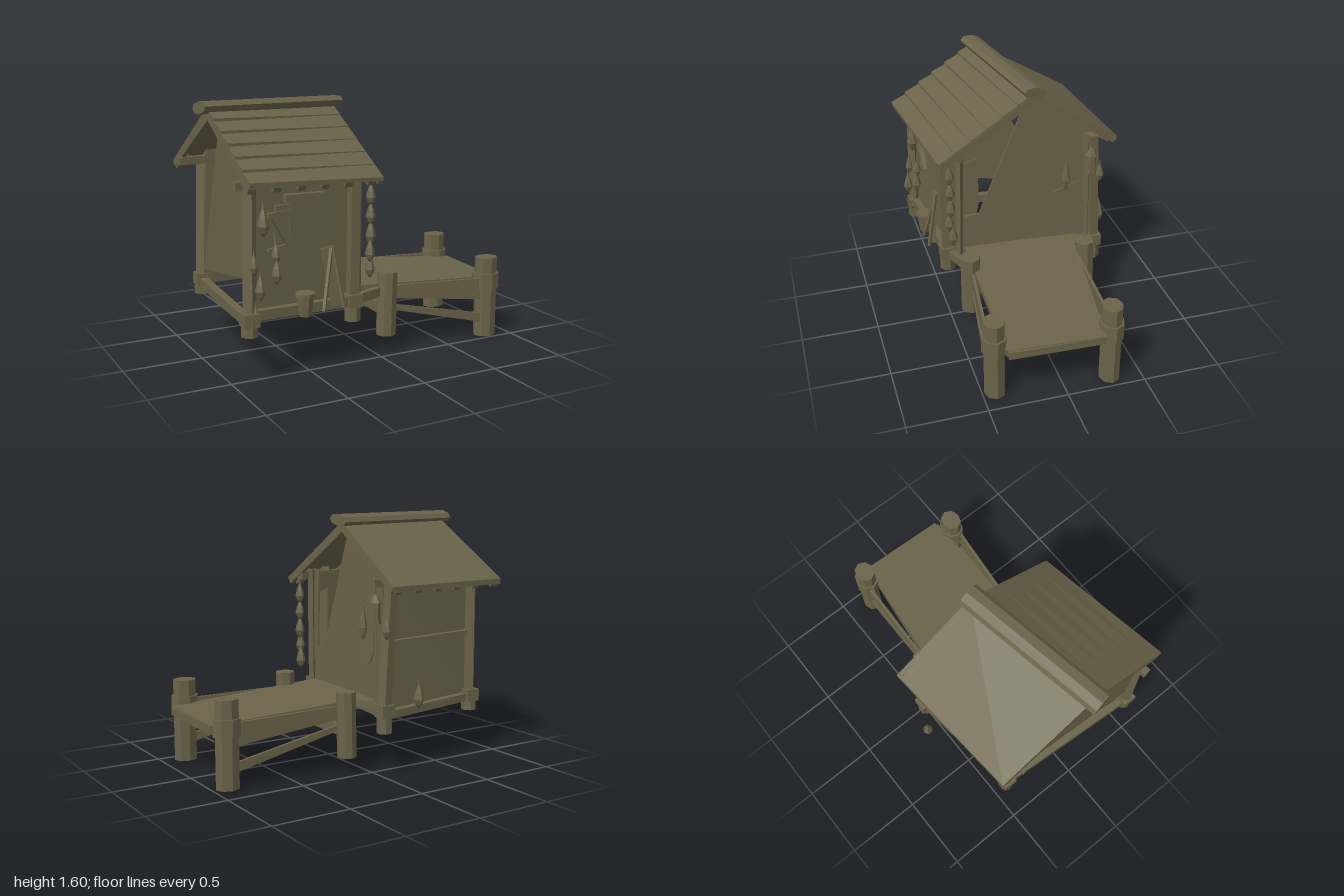
import * as THREE from 'three';

const wood = new THREE.MeshStandardMaterial({ color: 0x6b6349, flatShading: true, side: THREE.DoubleSide });
wood.name = 'weathered wood';
const V = (p) => new THREE.Vector3(...p);
const mix = (a, b, t) => a.map((v, i) => v + (b[i] - v) * t);

export function createModel() {
  const group = new THREE.Group();

  const add = (name, geo) => {
    const m = new THREE.Mesh(geo, wood);
    m.name = name;
    group.add(m);
    return m;
  };

  // Convex polygon in space, thickened by an offset vector
  const slab = (name, points, offset) => {
    const p = points.map(V);
    const o = V(offset), n = new THREE.Vector3();
    for (let i = 1; i < p.length - 1; i++)
      n.add(p[i].clone().sub(p[0]).cross(p[i + 1].clone().sub(p[0])));
    if (n.dot(o) < 0) p.reverse();
    const q = p.map((v) => v.clone().add(o)), tri = [];
    for (let i = 1; i < p.length - 1; i++) tri.push(q[0], q[i], q[i + 1], p[0], p[i + 1], p[i]);
    p.forEach((v, i) => {
      const j = (i + 1) % p.length;
      tri.push(v, p[j], q[j], v, q[j], q[i]);
    });
    const geo = new THREE.BufferGeometry().setFromPoints(tri);
    geo.computeVertexNormals();
    return add(name, geo);
  };

  // Rectangular beam from a to b: w across, h upright
  const beam = (name, a, b, w, h) => {
    const A = V(a), B = V(b);
    const m = add(name, new THREE.BoxGeometry(w, h, A.distanceTo(B)));
    m.position.copy(A).lerp(B, 0.5);
    m.lookAt(B);
    return m;
  };

  // Faceted log from a to b
  const pole = (name, a, b, r, sides = 8, r2 = r) => {
    const A = V(a), B = V(b);
    const m = add(name, new THREE.CylinderGeometry(r2, r, A.distanceTo(B), sides));
    m.position.copy(A).lerp(B, 0.5);
    m.quaternion.setFromUnitVectors(new THREE.Vector3(0, 1, 0), B.sub(A).normalize());
    return m;
  };

  // Dock
  slab('dockDeck', [[-0.12, 0.44, 0.36], [0.94, 0.375, 0.37], [0.98, 0.375, -0.24], [0.05, 0.44, -0.36], [-0.1, 0.44, -0.36]], [0, -0.045, 0]);
  slab('dockCorner', [[-0.1, 0.44, -0.36], [0.05, 0.44, -0.36], [-0.04, 0.44, -0.46]], [0, -0.045, 0]);
  for (const [x, z, top] of [[0.84, 0.42, 0.53], [0.9, -0.3, 0.54]]) {
    pole('dockEndPost', [x, 0, z], [x, top, z], 0.078).scale.z = 0.85;
    pole('dockPostCollar', [x, 0.32, z], [x, 0.425, z], 0.092).scale.z = 0.85;
  }
  pole('dockInnerPost', [0.1, 0.1, 0.38], [0.11, 0.51, 0.38], 0.065);
  pole('dockInnerPost', [0.13, 0.1, -0.41], [0.13, 0.51, -0.4], 0.062);
  for (const [x0, z0, x1, z1] of [[0.13, -0.36, 0.88, -0.33], [0.1, 0.36, 0.82, 0.44]]) {
    slab('dockRail', [[x0, 0.415, z0], [x1, 0.395, z1], [x1, 0.25, z1], [x0, 0.335, z0]], [0, 0, 0.02]);
    slab('dockBrace', [[x0, 0.3, z0], [x1, 0.15, z1], [x1, 0.09, z1], [x0, 0.265, z0]], [0, 0, 0.02]);
  }
  beam('dockCrossBeam', [0.1, 0.255, 0.34], [0.12, 0.255, -0.38], 0.04, 0.07);
  beam('deckEdge', [0.95, 0.345, 0.36], [0.97, 0.345, -0.24], 0.02, 0.05);
  beam('deckJoist', [-0.2, 0.385, 0.47], [0.08, 0.385, 0.36], 0.04, 0.06);

  // Hut corner feet, collars and leaning posts
  const FL = [-0.9, 0.55], FR = [-0.19, 0.47], BR = [-0.07, -0.53], BL = [-0.83, -0.44];
  const corners = [[FL, 0.29, [-0.88, 1.2, 0.53]], [FR, 0.26, [-0.18, 1.15, 0.47]], [BR, 0.25, [-0.12, 1.2, -0.52]], [BL, 0.29, [-0.79, 1.2, -0.48]]];
  for (const [[x, z], y, top] of corners) {
    pole('cornerFoot', [x, y, z], [x, 0.4, z], 0.05, 7);
    beam('footCollar', [x, 0.35, z], [x, 0.43, z], 0.095, 0.095);
    beam('cornerPost', [x, 0.38, z], top, 0.06, 0.06);
  }
  beam('sidePost', [-0.12, 0.38, 0.4], [-0.1, 1.2, 0.38], 0.035, 0.035);
  beam('sidePost', [-0.06, 0.38, -0.48], [-0.07, 1.2, -0.46], 0.03, 0.03);

  // Sills, floor and top plates
  const at = ([x, z], y) => [x, y, z];
  beam('frontSill', at(FL, 0.41), at(FR, 0.385), 0.05, 0.06);
  beam('leftSill', at(FL, 0.37), at(BL, 0.37), 0.05, 0.06);
  beam('backSill', at(BL, 0.38), at(BR, 0.36), 0.05, 0.05);
  beam('rightSill', at(BR, 0.37), at(FR, 0.38), 0.05, 0.05);
  slab('hutFloor', [at(FL, 0.4), at(FR, 0.4), at(BR, 0.4)], [0, -0.02, 0]);
  beam('frontPlate', [-0.97, 1.16, 0.52], [-0.02, 1.16, 0.39], 0.05, 0.05);
  beam('backPlate', [-0.97, 1.18, -0.43], [0, 1.18, -0.49], 0.05, 0.05);

  // Walls; the side walls are cut on a slant
  slab('frontWall', [[-0.9, 0.4, 0.53], [-0.14, 0.38, 0.43], [-0.14, 1.18, 0.42], [-0.9, 1.2, 0.53]], [0, 0, -0.02]);
  slab('backWall', [[-0.82, 0.39, -0.42], [-0.08, 0.38, -0.49], [-0.12, 1.24, -0.48], [-0.79, 1.24, -0.44]], [0, 0, 0.02]);
  beam('backWallRail', [-0.79, 0.81, -0.45], [-0.1, 0.8, -0.51], 0.04, 0.04);
  const rightSide = ([z, y]) => [-0.11 - 0.08 * z, y, z];
  const leftSide = ([z, y]) => [-0.86 - 0.08 * z, y, z];
  slab('rightWall', [[-0.08, 1.5], [-0.06, 1.46], [0.26, 0.66], [0.26, 0.42], [-0.5, 0.42], [-0.5, 1.235]].map(rightSide), [-0.015, 0, 0]);
  slab('rightWallLower', [[0.26, 0.42], [0.26, 0.68], [0.38, 0.66], [0.38, 0.42]].map(rightSide), [-0.015, 0, 0]);
  slab('leftWall', [[0.52, 0.62], [0.52, 1.2], [0.05, 1.5], [-0.4, 0.46]].map(leftSide), [0.015, 0, 0]);
  slab('frontRightJamb', [[0.42, 0.4], [0.36, 0.4], [0.34, 1.2], [0.42, 1.2]].map(rightSide), [-0.015, 0, 0]);

  // Hanging cloths with rounded hems
  const cloth = (name, x, z, w, top, bottom) => {
    const pts = [[x, top - 0.06, z + w], [x, top, z - w]];
    for (let i = 0; i <= 8; i++) {
      const a = (i / 8) * Math.PI;
      pts.push([x, bottom + 0.14 - 0.14 * Math.sin(a), z - w * Math.cos(a)]);
    }
    slab(name, pts, [0.008, 0, 0]);
  };
  cloth('sideCurtain', -0.16, 0.34, 0.09, 1.08, 0.62);
  cloth('hangingCloth', -0.07, -0.33, 0.09, 0.86, 0.65);

  // Roof: plain back slope and overlapping planks in front
  const ridgeL = [-0.95, 1.55, 0.08], ridgeR = [-0.04, 1.54, -0.1];
  const eaveL = [-0.93, 1.18, 0.66], eaveR = [-0.015, 1.14, 0.53];
  const backL = [-0.95, 1.17, -0.59], backR = [-0.035, 1.17, -0.66];
  slab('backRoof', [[-0.95, 1.55, 0.05], ridgeR, backR, backL], [0, -0.035, 0]);
  slab('roofUnderlay', [ridgeL, ridgeR, eaveR, eaveL], [0, -0.02, 0]);
  const lower = (p, dx, dy) => [p[0] + dx, p[1] - dy, p[2]];
  for (let i = 0; i < 6; i++) {
    const a = i / 6, b = (i + 1) / 6 + 0.01;
    slab('roofPlank', [
      lower(mix(ridgeL, eaveL, a), 0, -0.002), lower(mix(ridgeR, eaveR, a), 0, -0.002),
      lower(mix(ridgeR, eaveR, b), 0, -0.007), lower(mix(ridgeL, eaveL, b), 0, -0.02),
    ], [0, -0.018, 0]);
  }
  pole('ridgeLog', [-1, 1.56, 0.075], [-0.01, 1.55, -0.095], 0.077).scale.x = 0.5;

  // Gable boards
  for (const [top, ends, dx] of [[ridgeR, [eaveR, backR], -0.01], [ridgeL, [eaveL, backL], 0.015]])
    for (const e of ends) beam('gableBoard', lower(top, dx, 0.035), lower(mix(top, e, 0.98), dx, 0.03), 0.03, 0.05);

  // Rafter ends under both eaves
  for (let i = 0; i < 6; i++) {
    const t = 0.03 + i * 0.18, top = mix(ridgeL, ridgeR, t);
    for (const [eave, drop] of [[mix(eaveL, eaveR, t), 0.052], [mix(backL, backR, t), 0.055]])
      beam('rafterEnd', lower(mix(top, eave, 0.76), 0, drop), lower(mix(top, eave, 0.95), 0, drop), 0.048, 0.045);
  }

  // Front window with a broken shutter
  const wz = (x) => 0.53 - (x + 0.9) * 0.13;
  const board = (name, xy, lift, d) => slab(name, xy.map(([x, y]) => [x, y, wz(x) + lift]), [0, 0, d]);
  board('windowPanel', [[-0.62, 0.8], [-0.41, 0.8], [-0.41, 1.04], [-0.62, 1.04]], 0.001, 0.008);
  board('windowLintel', [[-0.66, 1.045], [-0.39, 1.035], [-0.39, 1.08], [-0.66, 1.09]], 0, 0.05);
  board('shutterSlat', [[-0.77, 0.96], [-0.62, 0.97], [-0.62, 1.0], [-0.77, 0.99]], 0, 0.03);
  board('shutterSlat', [[-0.72, 0.99], [-0.62, 0.99], [-0.62, 1.03], [-0.72, 1.03]], 0, 0.02);
  board('shutterBrace', [[-0.75, 0.97], [-0.72, 0.97], [-0.62, 0.8], [-0.64, 0.78]], 0, 0.03);
  board('shutterSlat', [[-0.77, 0.76], [-0.62, 0.78], [-0.62, 0.8], [-0.77, 0.78]], 0, 0.02);

  // Leaning boards and bucket
  slab('leaningBoard', [[-0.42, 0.74, 0.49], [-0.34, 0.75, 0.48], [-0.29, 0.4, 0.53], [-0.37, 0.39, 0.54]], [0, 0, 0.015]);
  beam('leaningStick', [-0.44, 0.38, 0.58], [-0.35, 0.74, 0.5], 0.018, 0.018);
  beam('leaningStick', [-0.3, 0.38, 0.57], [-0.34, 0.75, 0.5], 0.018, 0.018);
  pole('bucket', [-0.545, 0.36, 0.545], [-0.545, 0.49, 0.545], 0.038, 8, 0.055);
  pole('bucketRim', [-0.545, 0.48, 0.545], [-0.545, 0.5, 0.545], 0.062);

  // Leaf garlands: position, length, width factor
  const leaf = new THREE.LatheGeometry([[0, -0.5], [0.1, -0.38], [0.17, -0.2], [0.12, 0.02], [0.04, 0.25], [0, 0.5]].map(([x, y]) => new THREE.Vector2(x, y)), 6);
  const leaves = [
    [-0.81, 0.97, 0.56, 0.22], [-0.88, 0.73, 0.58, 0.16], [-0.85, 0.6, 0.6, 0.19], [-0.73, 0.77, 0.55, 0.16], [-0.73, 0.67, 0.56, 0.19],
    [-0.06, 1.05, 0.46, 0.18], [-0.06, 0.93, 0.46, 0.18], [-0.06, 0.81, 0.46, 0.19], [-0.07, 0.7, 0.47, 0.18], [-0.06, 0.6, 0.45, 0.19],
    [-0.05, 0.94, -0.32, 0.27, 0.6], [-0.25, 0.5, -0.64, 0.2], [-0.06, 0.92, -0.56, 0.17], [-0.87, 0.42, 0.57, 0.16],
  ];
  for (const [x, y, z, s, w = 1] of leaves) {
    const m = add('leaf', leaf);
    m.position.set(x, y, z);
    m.scale.set(s * w, s, s * w);
  }
  pole('garlandCord', [-0.06, 0.55, 0.46], [-0.06, 1.16, 0.46], 0.006, 5);
  pole('garlandCord', [-0.73, 0.7, 0.545], [-0.73, 0.88, 0.53], 0.006, 5);

  // Lantern under the back plate
  const lx = -0.025, lz = -0.485;
  pole('lanternHook', [lx, 1.09, lz], [lx, 1.17, lz], 0.006, 5);
  pole('lanternRoof', [lx, 1.06, lz], [lx, 1.11, lz], 0.04, 6, 0.014);
  pole('lanternBody', [lx, 0.95, lz], [lx, 1.06, lz], 0.032, 6);
  pole('lanternBase', [lx, 0.93, lz], [lx, 0.95, lz], 0.037, 6);

  return group;
}
